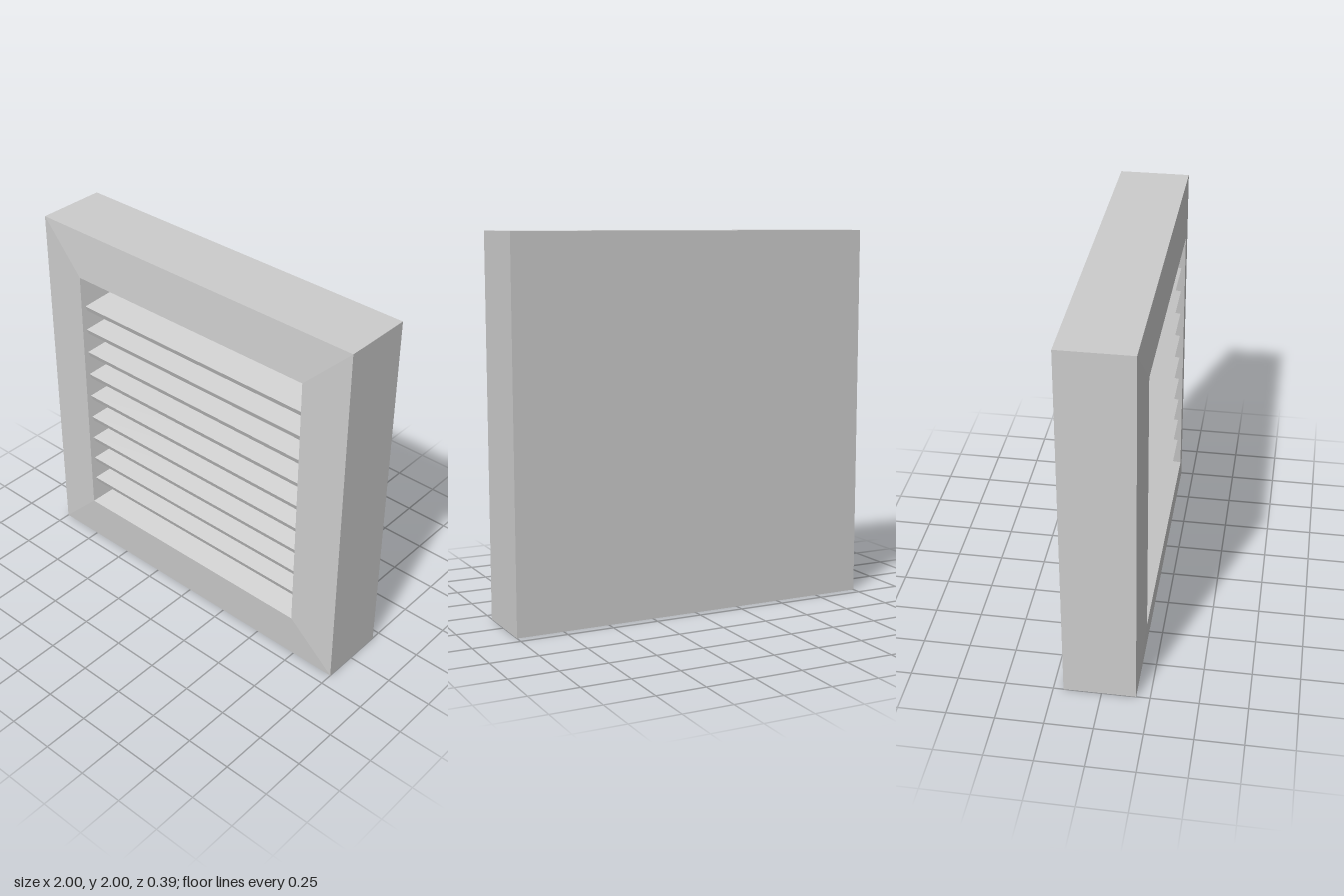
import * as THREE from 'three';

const FRONT = 0.197, DEPTH = 0.24;      // front rim and depth of the recess
const OPEN = 0.74, TAPER = 0.085;       // half size of the opening and how much it narrows
const material = new THREE.MeshStandardMaterial({ color: 0xcccccc, flatShading: true });

// half width of the tapered recess at depth z
const halfAt = (z) => OPEN - TAPER * (FRONT - z) / DEPTH;

function flat(geometry) {
  const g = geometry.toNonIndexed();
  g.computeVertexNormals();
  return g;
}

// Square casing: a four-sided lathe from the back, over the bevelled rim, into the recess
function makeCasing() {
  const back = FRONT - DEPTH;
  const profile = [
    [0, -FRONT], [1, -FRONT], [1, 0.178], [OPEN, FRONT], [OPEN - TAPER, back], [0, back],
  ].map(([half, z]) => new THREE.Vector2(half * Math.SQRT2, z));
  const g = new THREE.LatheGeometry(profile, 4, Math.PI / 4);
  g.rotateX(Math.PI / 2);
  return new THREE.Mesh(flat(g), material);
}

// Slanted slat: a box whose corners follow the tapering side walls
function makeSlat() {
  const zFront = FRONT - 0.02, zBack = FRONT - DEPTH;
  const slope = TAPER / DEPTH, drop = 0.03;
  const g = new THREE.BoxGeometry(2, 2, 2);
  const p = g.attributes.position;
  for (let i = 0; i < p.count; i++) {
    const under = p.getY(i) < 0;
    const atFront = p.getZ(i) > 0;
    // the front lip stands square to the slope
    const z = atFront ? zFront - (under ? drop * slope : 0) : zBack;
    const y = (zFront - z) * slope - (under ? drop * (1 + slope * slope) : 0);
    p.setXYZ(i, Math.sign(p.getX(i)) * halfAt(z), y, z);
  }
  return flat(g);
}

export function createModel() {
  const model = new THREE.Group();
  model.name = 'louvreVent';

  const casing = makeCasing();
  casing.name = 'casing';
  casing.position.y = 1;
  model.add(casing);

  const slats = new THREE.Group();
  slats.name = 'slats';
  const slatGeometry = makeSlat();
  for (let i = 0; i < 9; i++) {
    const slat = new THREE.Mesh(slatGeometry, material);
    slat.name = 'slat' + (i + 1);
    slat.position.y = 1.562 - i * 0.1422;
    slats.add(slat);
  }
  model.add(slats);
  return model;
}
